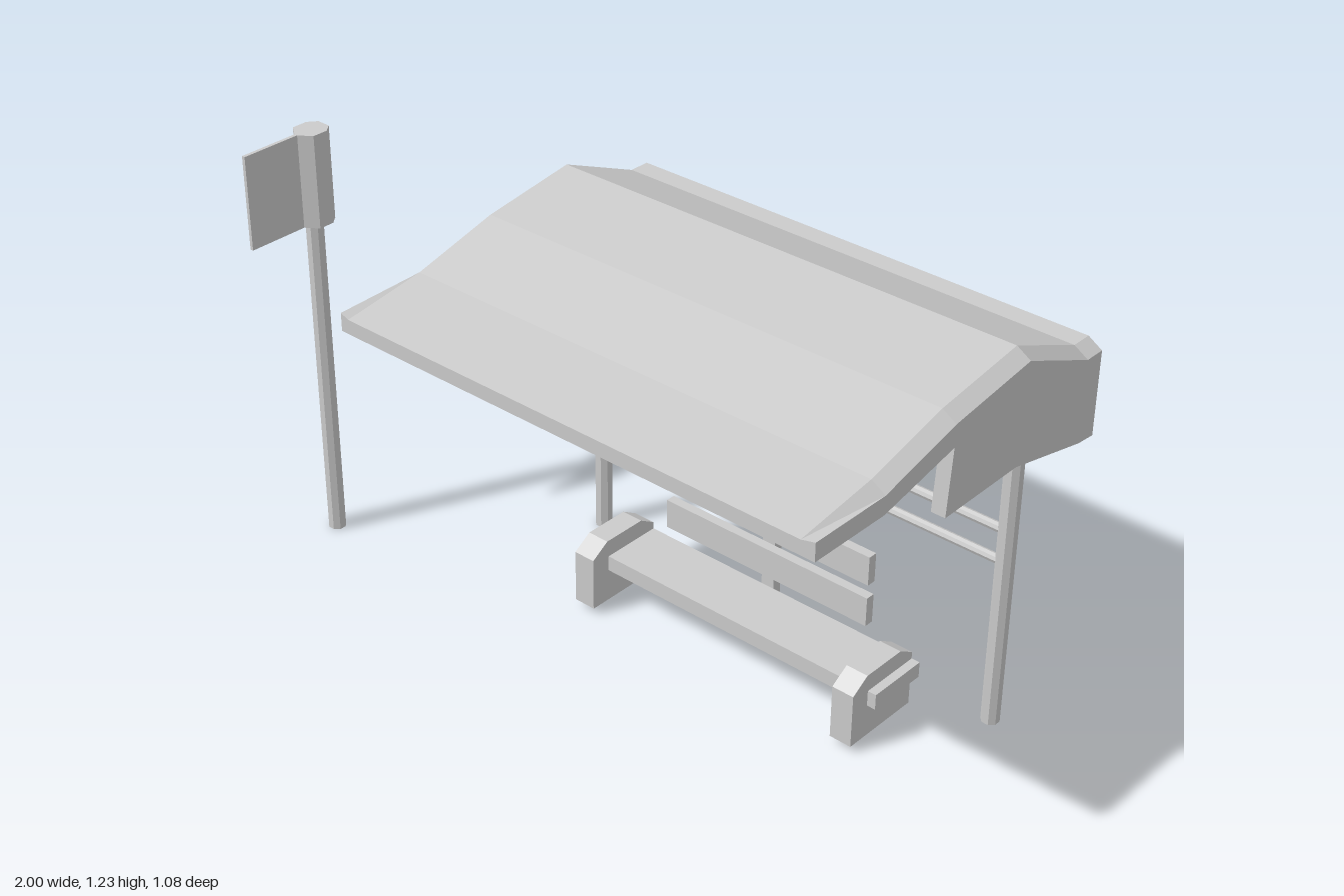
import * as THREE from 'three';

const material = new THREE.MeshStandardMaterial({ color: 0xcccccc, flatShading: true, side: THREE.DoubleSide });

export function createModel() {
  const model = new THREE.Group();

  function add(name, geometry, x = 0, y = 0, z = 0) {
    const mesh = new THREE.Mesh(geometry, material);
    mesh.name = name;
    mesh.position.set(x, y, z);
    model.add(mesh);
    return mesh;
  }

  // Box given by its limits
  function box(name, x0, x1, y0, y1, z0, z1) {
    return add(name, new THREE.BoxGeometry(x1 - x0, y1 - y0, z1 - z0),
      (x0 + x1) / 2, (y0 + y1) / 2, (z0 + z1) / 2);
  }

  const shapeOf = (points) => new THREE.Shape(points.map(([a, b]) => new THREE.Vector2(a, b)));

  // Side profile of [z, y] points, extruded from x0 to x1
  function extrudeX(points, x0, x1, steps = 1) {
    const g = new THREE.ExtrudeGeometry(shapeOf(points), { depth: x1 - x0, steps, bevelEnabled: false });
    return g.rotateY(-Math.PI / 2).translate(x1, 0, 0);
  }

  // Change each vertex by a rule
  function reshape(geometry, rule) {
    const p = geometry.attributes.position;
    const v = new THREE.Vector3();
    for (let i = 0; i < p.count; i++) {
      rule(v.fromBufferAttribute(p, i));
      p.setXYZ(i, v.x, v.y, v.z);
    }
    geometry.computeVertexNormals();
    return geometry;
  }

  // Remove the faces lying on the height y, leaving the bottom open
  function openBottom(geometry, y) {
    const a = geometry.attributes.position.array;
    const kept = [];
    for (let i = 0; i < a.length; i += 9) {
      if ([1, 4, 7].every((k) => Math.abs(a[i + k] - y) < 1e-4)) continue;
      kept.push(...a.slice(i, i + 9));
    }
    const g = new THREE.BufferGeometry();
    g.setAttribute('position', new THREE.Float32BufferAttribute(kept, 3));
    g.computeVertexNormals();
    return g;
  }

  function pole(name, x, z, height) {
    const g = new THREE.CylinderGeometry(0.025, 0.025, height, 8, 1, true).rotateY(Math.PI / 8);
    add(name, g, x, height / 2, z);
  }

  // Shelter posts and the rails between them
  const left = 0.925, right = -0.405, postZ = -0.325;
  pole('leftPost', left, postZ, 0.955);
  pole('rightPost', right, postZ, 0.955);
  for (const [name, y] of [['upperRail', 0.575], ['lowerRail', 0.484]]) {
    const g = new THREE.CylinderGeometry(0.013, 0.013, left - right, 8, 1, true).rotateZ(Math.PI / 2);
    add(name, g, (left + right) / 2, y, postZ);
  }

  // Roof shell: the middle of the top is raised, with chamfers along both ends
  const roofLeft = 1, roofRight = -0.465;
  const top = [[0.54, 1.015], [0.3, 1.015], [0.05, 1.08], [-0.23, 1.12], [-0.48, 1.015], [-0.54, 1.015]];
  const under = [[-0.54, 0.955], [-0.48, 0.955], [-0.23, 1.06], [0.05, 1.02], [0.3, 0.965], [0.54, 0.965]];
  const roof = extrudeX([...top, ...under], roofRight, roofLeft, 3);
  reshape(roof, (v) => {
    if (v.x > roofLeft - 0.01 || v.x < roofRight + 0.01) return;
    v.x = v.x > 0.2 ? 0.96 : -0.44;
    const isTop = top.some(([z, y]) => Math.abs(z - v.z) < 1e-3 && Math.abs(y - v.y) < 1e-3);
    if (isTop) v.y += v.z > 0.5 ? -0.01 : 0.025;
  });
  add('roof', roof);

  // Back wall and side panels under the roof
  const wall = [[-0.48, 0.96], [-0.54, 0.96], [-0.54, 0.78], [-0.48, 0.785]];
  add('backWall', extrudeX(wall, roofRight, roofLeft));
  const panel = [[0.05, 1.02], [-0.23, 1.06], [-0.48, 0.955], [-0.54, 0.955],
    [-0.54, 0.78], [-0.48, 0.785], [-0.21, 0.845], [0.065, 0.84]];
  add('leftPanel', extrudeX(panel, 0.96, roofLeft));
  const rightPanel = extrudeX(panel, roofRight, -0.435);
  reshape(rightPanel, (v) => { if (v.y < 0.9) v.x -= 0.014; });
  add('rightPanel', rightPanel);

  // Bench
  box('seat', -0.21, 0.77, 0.115, 0.16, -0.22, -0.04);
  const arm = [[0.02, 0.02], [0.02, 0.175], [-0.035, 0.21], [-0.17, 0.21], [-0.22, 0.18], [-0.22, 0.02]];
  for (const [name, x] of [['rightArmrest', -0.19], ['leftArmrest', 0.68]]) {
    add(name, openBottom(extrudeX(arm, x, x + 0.065), 0.02));
  }
  box('upperBackBoard', -0.055, 0.615, 0.335, 0.42, -0.222, -0.195);
  box('lowerBackBoard', -0.055, 0.615, 0.21, 0.295, -0.222, -0.195);
  box('backSupport', 0.25, 0.29, 0.13, 0.405, -0.255, -0.227);

  // Stop sign: pole, and a head drawn in plan with a thin blade to the front
  pole('signPole', -0.96, 0.19, 0.96);
  const plan = [[-0.98, 0.135], [-0.94, 0.135], [-0.92, 0.16], [-0.92, 0.205], [-0.955, 0.23],
    [-0.955, 0.405], [-0.965, 0.405], [-0.965, 0.23], [-1, 0.205], [-1, 0.16]];
  const head = new THREE.ExtrudeGeometry(shapeOf(plan.map(([x, z]) => [x, -z])), { depth: 0.265, bevelEnabled: false });
  add('signHead', head.rotateX(-Math.PI / 2), 0, 0.96, 0);

  return model;
}
